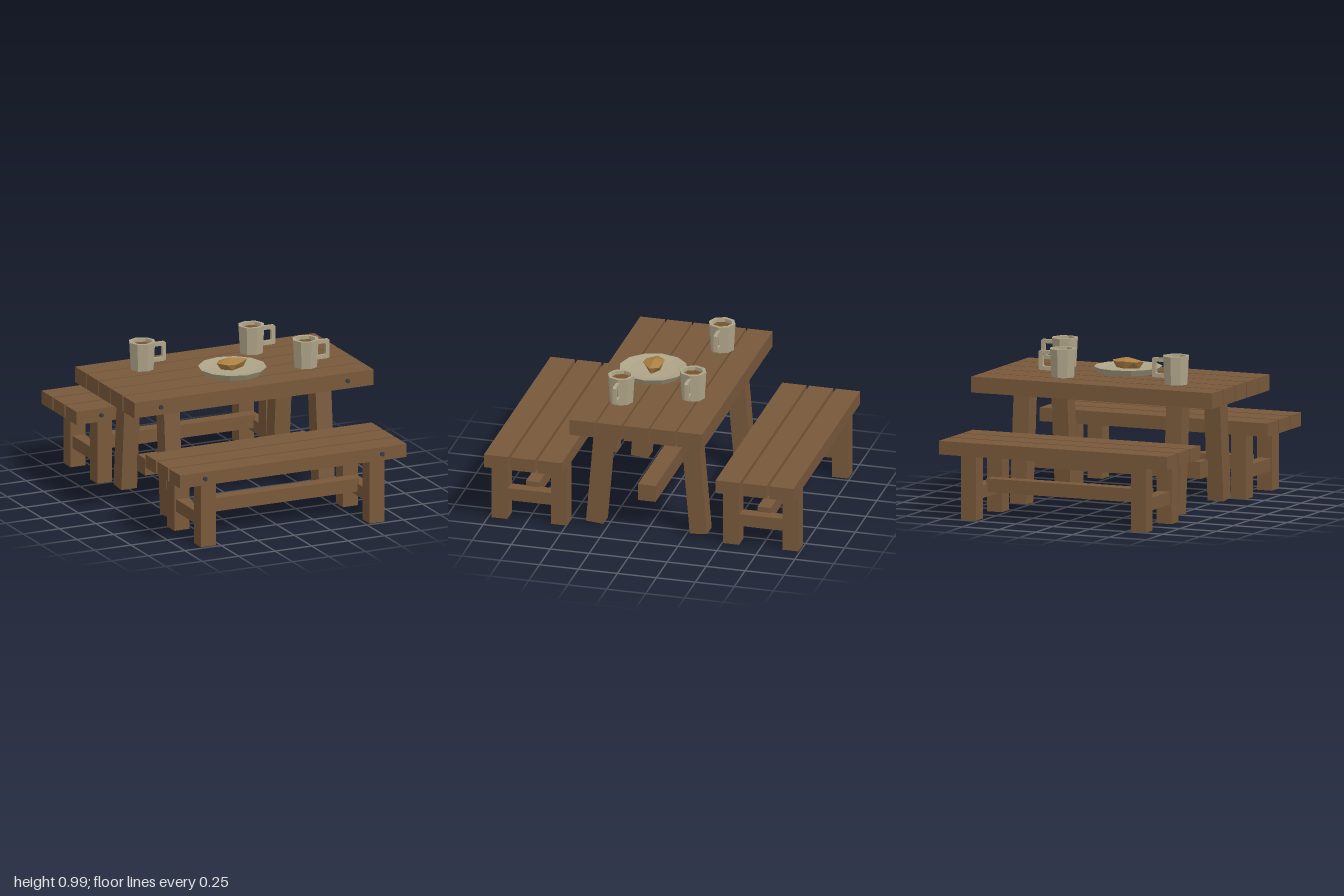
import * as THREE from 'three';
import { ConvexGeometry } from 'three/addons/geometries/ConvexGeometry.js';

const material = (name, color) => {
  const m = new THREE.MeshStandardMaterial({ color });
  m.name = name;
  return m;
};

export function createModel() {
  const wood = material('wood', 0x78583a);
  const iron = material('iron', 0x323c42);
  const pewter = material('pewter', 0xaea488);
  const coffee = material('drink', 0x77522f);
  const crust = material('crust', 0xab7f42);

  const model = new THREE.Group();
  model.name = 'picnicTable';

  const add = (parent, name, geometry, mat, x = 0, y = 0, z = 0) => {
    const mesh = new THREE.Mesh(geometry, mat);
    mesh.name = name;
    mesh.position.set(x, y, z);
    parent.add(mesh);
    return mesh;
  };
  const box = (parent, name, w, h, d, x, y, z) =>
    add(parent, name, new THREE.BoxGeometry(w, h, d), wood, x, y, z);
  const group = (name, x = 0, y = 0, z = 0) => {
    const g = new THREE.Group();
    g.name = name;
    g.position.set(x, y, z);
    model.add(g);
    return g;
  };
  // Faceted normals for low-poly round parts
  const facet = (geometry) => {
    const g = geometry.toNonIndexed();
    g.computeVertexNormals();
    return g;
  };
  const lathe = (points, sides) =>
    facet(new THREE.LatheGeometry(points.map(([r, y]) => new THREE.Vector2(r, y)), sides));

  // Row of planks, each with two bolts on its front edge
  const boltGeometry = facet(new THREE.CylinderGeometry(0.014, 0.014, 0.03, 8).rotateX(Math.PI / 2));
  const planks = (parent, count, pitch, w, h, d, y, boltX) => {
    for (let i = 0; i < count; i++) {
      const z = (i - (count - 1) / 2) * pitch;
      box(parent, 'plank', w, h, d, 0, y, z);
      for (const s of [-1, 1]) add(parent, 'bolt', boltGeometry, iron, s * boltX, y, z + d / 2 - 0.002);
    }
  };

  // Table: top, splayed legs, central beam
  const table = group('table');
  planks(table, 5, 0.1725, 1.64, 0.1, 0.16, 0.755, 0.64);
  for (const sx of [-1, 1]) {
    for (const sz of [-1, 1]) {
      const leg = box(table, 'tableLeg', 0.108, 0.695, 0.112, sx * 0.52, 0.365, sz * 0.304);
      leg.rotation.x = -sz * 0.083;
    }
  }
  box(table, 'tableBeam', 1.14, 0.107, 0.114, 0, 0.254, 0);

  // Two benches
  for (const [name, z] of [['frontBench', 0.738], ['backBench', -0.748]]) {
    const bench = group(name, 0, 0, z);
    planks(bench, 3, 0.1725, 1.552, 0.085, 0.155, 0.443, 0.607);
    for (const sx of [-1, 1]) {
      for (const sz of [-1, 1]) box(bench, 'benchLeg', 0.102, 0.402, 0.103, sx * 0.578, 0.201, sz * 0.191);
      box(bench, 'benchCrossRail', 0.078, 0.08, 0.3, sx * 0.578, 0.163, 0);
    }
    box(bench, 'benchStretcher', 1.1, 0.085, 0.085, 0, 0.193, 0);
  }

  // Eight-sided mugs with angular handles
  const cupGeometry = lathe([[0, 0], [0.075, 0], [0.0855, 0.177], [0.063, 0.177], [0.061, 0.145], [0, 0.145]], 8);
  const drinkGeometry = lathe([[0.062, 0.155], [0, 0.155]], 8);
  const outline = (path, l, r, b, t, c) => {
    path.moveTo(l, b);
    path.lineTo(r - c, b);
    path.lineTo(r, b + c);
    path.lineTo(r, t - c);
    path.lineTo(r - c, t);
    path.lineTo(l, t);
    path.closePath();
    return path;
  };
  const handleShape = outline(new THREE.Shape(), 0.07, 0.16, 0.034, 0.157, 0.008);
  handleShape.holes.push(outline(new THREE.Path(), 0.074, 0.135, 0.058, 0.133, 0.008));
  const handleGeometry = new THREE.ExtrudeGeometry(handleShape, { depth: 0.022, bevelEnabled: false });
  handleGeometry.translate(0, 0, -0.011);
  for (const [x, z] of [[-0.47, -0.197], [0.29, -0.22], [0.465, 0.192]]) {
    const mug = group('mug', x, 0.81, z);
    add(mug, 'cup', cupGeometry, pewter);
    add(mug, 'drink', drinkGeometry, coffee);
    add(mug, 'handle', handleGeometry, pewter);
  }

  // Shallow plate
  const plate = group('plate', 0, 0.811, 0.115);
  add(plate, 'dish', lathe([[0, 0], [0.188, 0], [0.213, 0.038], [0.15, 0.028], [0, 0.026]], 12), pewter);

  // Rough chunk of bread
  const bread = [
    [-0.108, 0.07, 0], [-0.065, 0.07, -0.055], [0, 0.073, -0.062], [0.07, 0.07, -0.055],
    [0.104, 0.072, -0.005], [0.06, 0.068, 0.028], [0, 0.066, 0.065], [-0.06, 0.066, 0.058],
    [-0.01, 0.094, -0.01], [0.03, 0.09, -0.005],
    [-0.075, 0.022, 0], [0.075, 0.022, -0.005], [0, 0.022, -0.045], [-0.02, 0.022, 0.045],
  ].map((p) => new THREE.Vector3(...p));
  add(plate, 'bread', new ConvexGeometry(bread), crust);

  return model;
}
